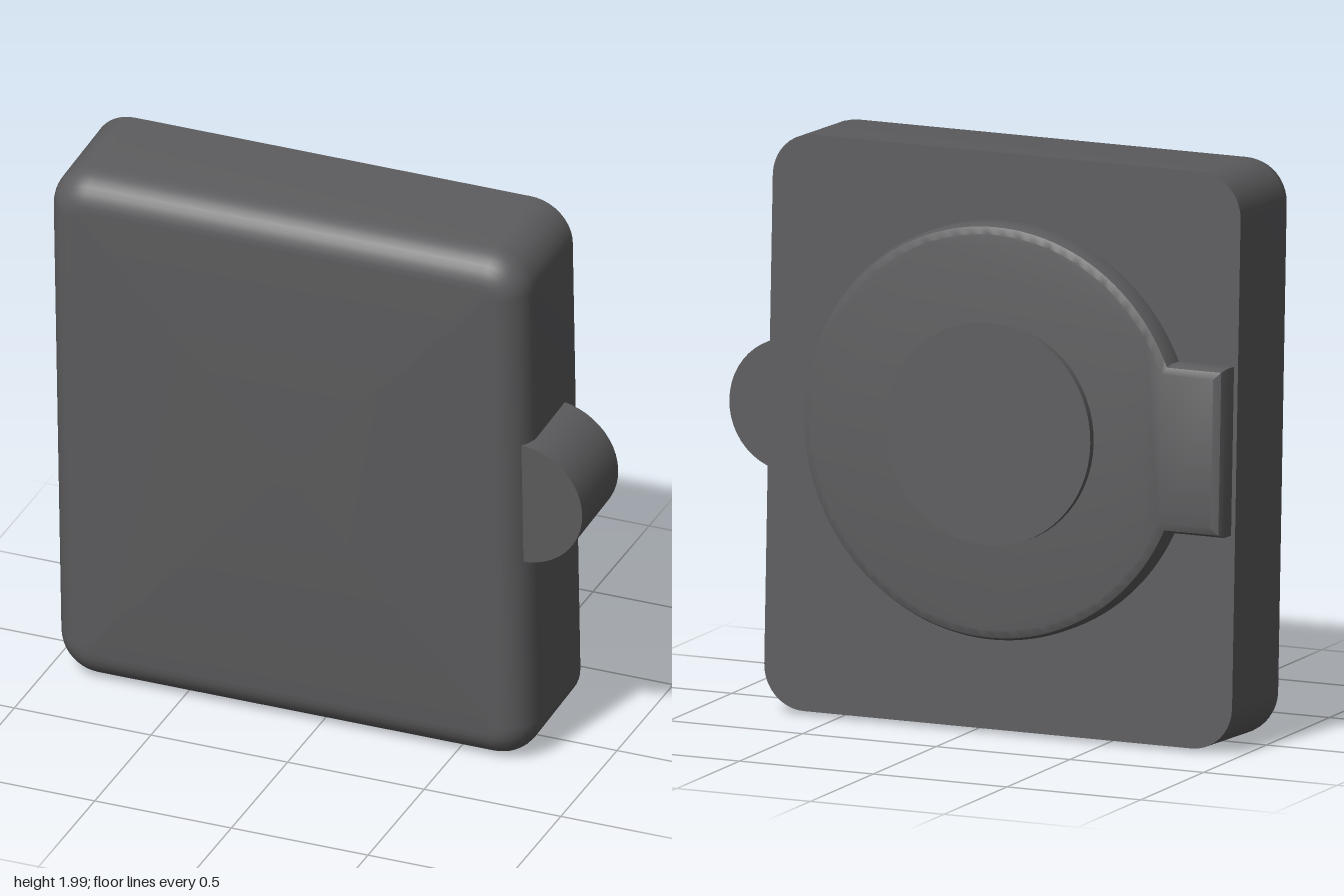
import * as THREE from 'three';
import { toCreasedNormals } from 'three/addons/utils/BufferGeometryUtils.js';

const CENTER_X = -0.097; // middle of the case
const DISC_Y = 0.043;    // height of the rear disc above the case middle

// Rounded slab: square rear edge at zBack, filleted front edge at zFront
function slabGeometry(w, h, zBack, zFront, corner, fillet) {
  const rings = [[0, zBack]];
  for (let i = 0; i <= 8; i++) {
    const a = (i / 8) * Math.PI / 2;
    rings.push([fillet * (1 - Math.cos(a)), zFront - fillet + fillet * Math.sin(a)]);
  }
  const steps = 10, n = 4 * (steps + 1), pos = [], index = [];
  for (const [inset, z] of rings) {
    const r = corner - inset;
    for (let q = 0; q < 4; q++) {
      const cx = (q === 0 || q === 3 ? 1 : -1) * (w / 2 - corner);
      const cy = (q < 2 ? 1 : -1) * (h / 2 - corner);
      for (let s = 0; s <= steps; s++) {
        const a = (q + s / steps) * Math.PI / 2;
        pos.push(cx + r * Math.cos(a), cy + r * Math.sin(a), z);
      }
    }
  }
  const last = (rings.length - 1) * n, back = rings.length * n, front = back + 1;
  pos.push(0, 0, zBack, 0, 0, zFront);
  for (let j = 0; j < n; j++) {
    const k = (j + 1) % n;
    for (let i = 0; i < rings.length - 1; i++) {
      const a = i * n + j, b = i * n + k;
      index.push(a, b, b + n, a, b + n, a + n);
    }
    index.push(back, k, j, front, last + j, last + k);
  }
  const g = new THREE.BufferGeometry();
  g.setAttribute('position', new THREE.Float32BufferAttribute(pos, 3));
  g.setIndex(index);
  return toCreasedNormals(g, 0.6);
}

export function createModel() {
  const grey = new THREE.MeshStandardMaterial({ color: 0x5c5c5e });
  grey.name = 'dark grey';

  const model = new THREE.Group();
  model.name = 'model';
  const tilted = new THREE.Group();
  tilted.name = 'tiltedCase';
  tilted.position.y = 1.002;
  tilted.rotation.x = 0.0404;
  model.add(tilted);

  const add = (name, geometry, x, y, z) => {
    const mesh = new THREE.Mesh(geometry, grey);
    mesh.name = name;
    mesh.position.set(x, y, z);
    tilted.add(mesh);
    return mesh;
  };

  // Case
  add('case', slabGeometry(1.75, 1.98, -0.18, 0.28, 0.15, 0.12), CENTER_X, 0, 0);

  // Rear disc with a square tab reaching the case edge
  const R = 0.715, tab = 0.29, a = Math.asin(tab / R), bevel = 0.035;
  const outline = new THREE.Shape();
  outline.moveTo(0.86, -tab);
  outline.lineTo(0.86, tab);
  outline.absarc(0, 0, R, a, Math.PI * 2 - a, false);
  outline.closePath();
  const discGeometry = new THREE.ExtrudeGeometry(outline, {
    depth: 0.1, curveSegments: 64, bevelThickness: bevel, bevelSize: bevel,
    bevelOffset: -bevel, bevelSegments: 2,
  });
  const disc = add('rearDisc', toCreasedNormals(discGeometry, 0.5), CENTER_X, DISC_Y, -0.135);
  disc.rotation.y = Math.PI;

  // Raised centre of the disc
  const centre = add('discCentre', new THREE.CylinderGeometry(0.383, 0.383, 0.06, 64),
    CENTER_X, DISC_Y, -0.267);
  centre.rotation.x = Math.PI / 2;

  // Round side knob, half sunk into the case
  const knob = add('sideKnob', new THREE.CylinderGeometry(0.23, 0.23, 0.32, 48), 0.74, 0.036, 0.075);
  knob.rotation.x = Math.PI / 2;

  return model;
}
